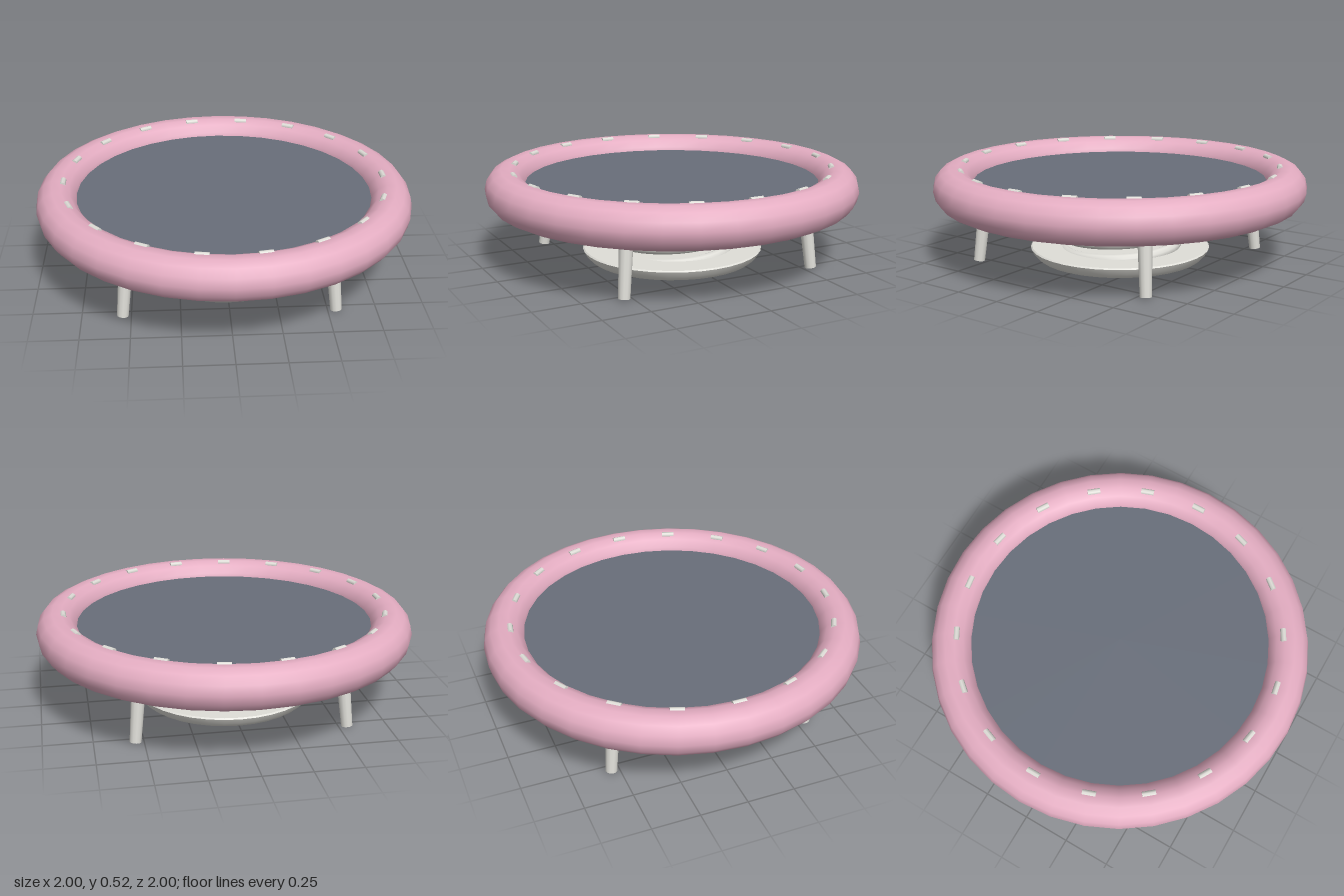
import * as THREE from 'three';
import { toCreasedNormals } from 'three/addons/utils/BufferGeometryUtils.js';

const material = (name, color) => Object.assign(new THREE.MeshStandardMaterial({ color }), { name });

// Spring centreline: rises anticlockwise seen from above
class Helix extends THREE.Curve {
  constructor(radius, bottom, pitch, turns, phase) {
    super();
    Object.assign(this, { radius, bottom, pitch, turns, phase });
  }
  getPoint(t, target = new THREE.Vector3()) {
    const a = (this.phase + t * this.turns) * Math.PI * 2;
    return target.set(
      this.radius * Math.cos(a),
      this.bottom + this.pitch * this.turns * t,
      -this.radius * Math.sin(a));
  }
}

export function createModel() {
  const group = new THREE.Group();
  group.name = 'trampoline';
  const pink = material('pink padding', 0xe4adc2);
  const slate = material('slate mat', 0x686e7a);
  const metal = material('pale metal', 0xdfded8);

  const add = (name, geometry, mat) => {
    const mesh = new THREE.Mesh(geometry, mat);
    mesh.name = name;
    group.add(mesh);
    return mesh;
  };

  // Padded rim
  const rim = new THREE.TorusGeometry(0.89, 0.11, 14, 36);
  rim.rotateX(-Math.PI / 2);
  add('paddedRim', rim, pink).position.y = 0.406;

  // Jumping mat
  add('mat', new THREE.CylinderGeometry(0.788, 0.788, 0.075, 36), slate).position.y = 0.3975;

  // Stitches lying along the rim
  const stitch = new THREE.CylinderGeometry(0.016, 0.016, 0.07, 8);
  stitch.rotateX(Math.PI / 2);
  for (let i = 0; i < 18; i++) {
    const a = i * Math.PI / 9;
    const mesh = add('stitch', stitch, metal);
    mesh.position.set(0.855 * Math.cos(a), 0.504, 0.855 * Math.sin(a));
    mesh.rotation.y = -a;
  }

  // Splayed, tapered legs
  const up = new THREE.Vector3(0, 1, 0);
  for (const sx of [-1, 1]) for (const sz of [-1, 1]) {
    const foot = new THREE.Vector3(0.543 * sx, 0.006, 0.543 * sz);
    const top = new THREE.Vector3(0.508 * sx, 0.39, 0.508 * sz);
    const axis = top.clone().sub(foot);
    const leg = add('leg', new THREE.CylinderGeometry(0.038, 0.03, axis.length(), 12), metal);
    leg.position.copy(foot).add(top).multiplyScalar(0.5);
    leg.quaternion.setFromUnitVectors(up, axis.normalize());
  }

  // Coil spring, its ends buried in the base and the mat
  add('spring', new THREE.TubeGeometry(new Helix(0.304, 0.034, 0.092, 3.9, -0.15), 150, 0.033, 10), metal);

  // Base plate with a bevelled underside
  const profile = [[0, 0.003], [0.445, 0.003], [0.46, 0.015], [0.474, 0.03], [0.489, 0.058], [0.482, 0.065], [0, 0.065]]
    .map(([x, y]) => new THREE.Vector2(x, y));
  add('basePlate', toCreasedNormals(new THREE.LatheGeometry(profile, 36), 0.75), metal);

  return group;
}
